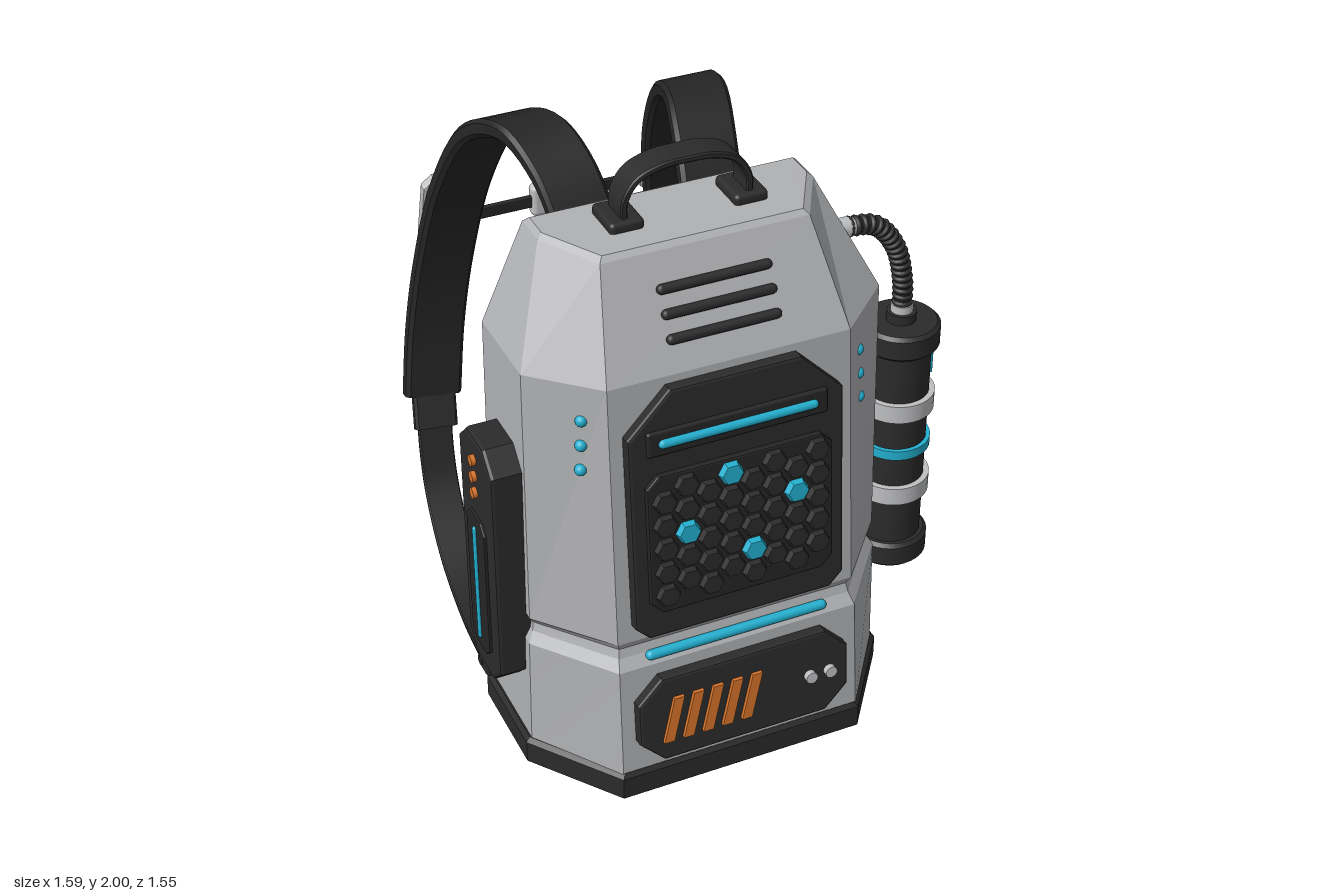
import * as THREE from 'three';
import { toCreasedNormals } from 'three/addons/utils/BufferGeometryUtils.js';
import { RoundedBoxGeometry } from 'three/addons/geometries/RoundedBoxGeometry.js';

const V = (x, y, z) => new THREE.Vector3(x, y, z);
const paint = (name, color) => Object.assign(new THREE.MeshStandardMaterial({ color }), { name });

// Closed skin over rings of points that run counter-clockwise about the travel direction
function loft(rings, crease = 0.5) {
  const n = rings[0].length, last = (rings.length - 1) * n, index = [];
  for (let i = 0; i < rings.length - 1; i++) for (let j = 0; j < n; j++) {
    const a = i * n + j, b = i * n + (j + 1) % n;
    index.push(a, b, b + n, a, b + n, a + n);
  }
  for (let j = 1; j < n - 1; j++) index.push(0, j + 1, j, last, last + j, last + j + 1);
  const g = new THREE.BufferGeometry().setFromPoints(rings.flat());
  g.setIndex(index);
  return toCreasedNormals(g, crease);
}

// Flat band with bevelled edges swept along a curve, its width lying close to x
function band(points, width, thick, steps = 48, across = V(1, 0, 0)) {
  const curve = new THREE.CatmullRomCurve3(points.map(p => V(...p)));
  const w = width / 2, t = thick / 2, c = t * 0.45;
  const section = [[w, -t + c], [w, t - c], [w - c, t], [c - w, t], [-w, t - c], [-w, c - t], [c - w, -t], [w - c, -t]];
  const rings = [];
  for (let i = 0; i <= steps; i++) {
    const p = curve.getPointAt(i / steps), T = curve.getTangentAt(i / steps);
    const W = across.clone().addScaledVector(T, -T.dot(across)).normalize();
    const N = T.clone().cross(W);
    rings.push(section.map(([a, b]) => p.clone().addScaledVector(W, a).addScaledVector(N, b)));
  }
  return loft(rings);
}

// Six-sided plan of the shell: half widths at side and front, depths at side and front
const plan = (y, s, f, zs, zf, zb = 0.12) =>
  [[s, zb], [-s, zb], [-s, zs], [-f, zf], [f, zf], [s, zs]].map(([x, z]) => V(x, y, z));

// Plate with cut corners, its back on z = 0
function plate(w, h, top, bottom, depth, bevel = 0.01) {
  const a = w / 2 - bevel, b = h / 2 - bevel;
  const s = new THREE.Shape([[-a + bottom, -b], [a - bottom, -b], [a, -b + bottom], [a, b - top],
    [a - top, b], [-a + top, b], [-a, b - top], [-a, -b + bottom]].map(p => new THREE.Vector2(...p)));
  return new THREE.ExtrudeGeometry(s, { depth: depth - bevel, bevelThickness: bevel, bevelSize: bevel, bevelSegments: 2 });
}

const box = (w, h, d, r = 0.01) => new RoundedBoxGeometry(w, h, d, 3, r);
const drum = (r, h, sides = 32) => new THREE.CylinderGeometry(r, r, h, sides);
const rod = (len, r) => new THREE.CapsuleGeometry(r, len - 2 * r, 6, 12);

export function createModel() {
  const shellGrey = paint('shell grey', 0xb0b1b4), lightGrey = paint('light grey', 0xbfc0c2);
  const dark = paint('dark plastic', 0x2b2b2c), fabric = paint('black fabric', 0x252526);
  const cyan = paint('cyan glow', 0x22b0d0), orange = paint('orange', 0xd8742a);

  const model = new THREE.Group();
  model.name = 'backpack';
  const pack = new THREE.Group();
  pack.name = 'pack';
  pack.position.x = -0.083;
  model.add(pack);

  const add = (parent, name, geometry, material, x = 0, y = 0, z = 0, rx = 0, ry = 0, rz = 0) => {
    const m = new THREE.Mesh(geometry, material);
    m.name = name;
    m.position.set(x, y, z);
    m.rotation.set(rx, ry, rz);
    parent.add(m);
    return m;
  };
  const group = (name, x, y, z, rx = 0, ry = 0) => {
    const g = new THREE.Group();
    g.name = name;
    g.position.set(x, y, z);
    g.rotation.set(rx, ry, 0);
    pack.add(g);
    return g;
  };

  // Shell and base
  add(pack, 'shell', loft([
    plan(0.09, 0.61, 0.41, 0.46, 0.735), plan(0.49, 0.603, 0.405, 0.455, 0.702),
    plan(0.525, 0.585, 0.395, 0.44, 0.675), plan(0.555, 0.58, 0.39, 0.435, 0.665),
    plan(0.585, 0.597, 0.4, 0.45, 0.68), plan(1.48, 0.587, 0.393, 0.43, 0.61),
    plan(1.795, 0.447, 0.335, 0.24, 0.438), plan(1.81, 0.43, 0.322, 0.23, 0.42, 0.135),
  ], 0.1), shellGrey);
  add(pack, 'base', loft([
    plan(0, 0.617, 0.407, 0.455, 0.735, 0.12), plan(0.012, 0.628, 0.415, 0.46, 0.746, 0.108),
    plan(0.09, 0.628, 0.415, 0.46, 0.746, 0.108), plan(0.105, 0.615, 0.405, 0.455, 0.735, 0.12),
  ], 0.1), dark);

  // Vents on the sloping front, status lights on the corner faces
  for (const y of [1.57, 1.635, 1.7])
    add(pack, 'vent', rod(0.37, 0.016), dark, 0, y, 0.615 - 0.546 * (y - 1.48), 0, 0, Math.PI / 2);
  for (const s of [-1, 1]) [1.19, 1.275, 1.36].forEach((y, i) =>
    add(pack, 'statusLight', new THREE.SphereGeometry(0.019, 16, 12), cyan, s * (0.46 - i * 0.004), y, 0.562 - i * 0.003));
  add(pack, 'lightBar', rod(0.62, 0.017), cyan, 0, 0.517, 0.687, 0, 0, Math.PI / 2);

  // Main front panel with a honeycomb
  const panel = group('frontPanel', 0, 1.028, 0.638, -0.077);
  add(panel, 'panelPlate', plate(0.704, 0.855, 0.135, 0.04, 0.045), dark);
  add(panel, 'lightRecess', box(0.59, 0.085, 0.02), fabric, 0, 0.262, 0.047);
  add(panel, 'panelLight', rod(0.52, 0.015), cyan, 0, 0.262, 0.057, 0, 0, Math.PI / 2);
  add(panel, 'honeycombTray', plate(0.61, 0.485, 0.035, 0.035, 0.022, 0.006), fabric, 0, -0.086, 0.043);
  const lit = ['1,2', '3,0', '4,3', '6,1'];
  for (let c = 0; c < 8; c++) for (let r = 0; r < 5; r++) {
    const on = lit.includes(`${c},${r}`);
    const y = (c % 2 ? 0.11 : 0.068) - r * 0.083;
    const cell = new THREE.CylinderGeometry(0.034, 0.041, 0.02, 6).rotateY(Math.PI / 6).rotateX(Math.PI / 2);
    cell.rotateZ(0);
    add(panel, on ? 'litCell' : 'cell', toCreasedNormals(cell, 0.3), on ? cyan : dark, -0.252 + c * 0.072, y, on ? 0.076 : 0.073);
  }

  // Lower front panel
  const lower = group('lowerPanel', 0, 0.296, 0.717, -0.085);
  add(lower, 'lowerPlate', plate(0.724, 0.31, 0.075, 0.075, 0.04), dark);
  const slash = new THREE.Shape([[-0.037, -0.08], [-0.003, -0.08], [0.037, 0.08], [0.003, 0.08]].map(p => new THREE.Vector2(...p)));
  for (let i = 0; i < 5; i++)
    add(lower, 'slash', new THREE.ExtrudeGeometry(slash, { depth: 0.015, bevelEnabled: false }), orange, -0.25 + i * 0.067, 0, 0.038);
  for (const x of [0.225, 0.294])
    add(lower, 'knob', drum(0.02, 0.025, 16), lightGrey, x, 0.003, 0.047, Math.PI / 2);

  // Carry handle
  for (const s of [-1, 1]) add(pack, 'handleFoot', box(0.11, 0.04, 0.15, 0.015), dark, s * 0.2, 1.822, 0.255);
  add(pack, 'handle', band([[-0.2, 1.82, 0.26], [-0.2, 1.89, 0.26], [-0.16, 1.955, 0.26], [-0.08, 1.986, 0.26], [0, 1.99, 0.26],
    [0.08, 1.986, 0.26], [0.16, 1.955, 0.26], [0.2, 1.89, 0.26], [0.2, 1.82, 0.26]], 0.1, 0.022, 40, V(0, 0, 1)), dark);

  // Back plate and pads
  add(pack, 'backPlate', box(0.65, 1.24, 0.06, 0.015), lightGrey, 0, 1.16, 0.105);
  for (const s of [-1, 1]) {
    add(pack, 'upperPad', box(0.4, 0.52, 0.09, 0.04), fabric, s * 0.256, 1.38, 0.077);
    add(pack, 'middlePad', box(0.4, 0.515, 0.09, 0.04), fabric, s * 0.256, 0.823, 0.077);
  }
  add(pack, 'lumbarPad', box(0.914, 0.335, 0.11, 0.045), fabric, 0, 0.322, 0.07);

  // Shoulder straps
  for (const s of [-1, 1]) {
    add(pack, 'shoulderStrap', band([[s * 0.205, 1.55, 0.07], [s * 0.21, 1.65, 0.035], [s * 0.235, 1.81, -0.08], [s * 0.275, 1.885, -0.23],
      [s * 0.325, 1.8, -0.44], [s * 0.37, 1.53, -0.625], [s * 0.42, 1.19, -0.715], [s * 0.46, 0.92, -0.73], [s * 0.495, 0.68, -0.7]], 0.2, 0.058), fabric);
    add(pack, 'strapSleeve', band([[s * 0.49, 0.7, -0.7], [s * 0.505, 0.57, -0.65]], 0.15, 0.04, 3), dark);
    add(pack, 'webbing', band([[s * 0.5, 0.62, -0.67], [s * 0.515, 0.53, -0.63], [s * 0.53, 0.39, -0.55], [s * 0.55, 0.235, -0.36],
      [s * 0.565, 0.155, -0.13], [s * 0.575, 0.137, 0.08]], 0.12, 0.018), fabric);
    add(pack, 'webbingAnchor', box(0.13, 0.09, 0.07), dark, s * 0.57, 0.145, 0.092);
    add(pack, 'anchorPin', drum(0.018, 0.15, 12), dark, s * 0.565, 0.137, 0.075, 0, 0, Math.PI / 2);
    const buckle = group('strapBuckle', s * 0.395, 1.395, -0.718, 0.3);
    add(buckle, 'bucklePlate', plate(0.19, 0.29, 0.03, 0.03, 0.025), lightGrey, 0, 0, 0.012, 0, Math.PI);
    add(buckle, 'buckleLight', rod(0.16, 0.014), cyan, 0, 0, -0.016);
  }
  // Chest strap
  add(pack, 'chestStrap', box(0.72, 0.045, 0.016, 0.006), fabric, 0, 1.32, -0.735);
  add(pack, 'chestBuckle', box(0.19, 0.115, 0.05, 0.018), lightGrey, 0, 1.32, -0.74);
  add(pack, 'chestLight', rod(0.11, 0.012), cyan, 0, 1.32, -0.763, 0, 0, Math.PI / 2);

  // Canister on the left side
  const can = group('canister', 0.75, 0, 0.3);
  const profile = [[0, 0.33], [0.115, 0.33], [0.127, 0.342], [0.127, 0.41], [0.115, 0.422], [0.103, 0.422], [0.103, 1.15],
    [0.115, 1.15], [0.127, 1.162], [0.127, 1.228], [0.115, 1.24], [0, 1.24]].map(p => new THREE.Vector2(...p));
  add(can, 'canisterBody', toCreasedNormals(new THREE.LatheGeometry(profile, 40), 0.5), dark);
  add(can, 'canisterNeck', drum(0.048, 0.035), dark, 0, 1.255, 0);
  add(can, 'neckCollar', drum(0.036, 0.03), lightGrey, 0, 1.285, 0);
  for (const y of [0.62, 0.947]) {
    add(can, 'clamp', drum(0.122, 0.064, 40), lightGrey, 0, y, 0);
    add(can, 'clampBracket', box(0.1, 0.06, 0.09), lightGrey, -0.125, y, 0);
  }
  add(can, 'canisterLight', drum(0.117, 0.034, 40), cyan, 0, 0.783, 0);
  add(can, 'canisterGauge', box(0.03, 0.1, 0.036, 0.005), cyan, 0.104, 1.06, 0);

  // Ribbed hose
  const hose = new THREE.CatmullRomCurve3([V(0.75, 1.28, 0.3), V(0.745, 1.39, 0.3), V(0.71, 1.52, 0.3), V(0.635, 1.61, 0.3), V(0.52, 1.63, 0.3)]);
  add(pack, 'hose', new THREE.TubeGeometry(hose, 40, 0.026, 14), dark);
  for (let i = 1; i < 20; i++) {
    const p = hose.getPointAt(i / 20);
    const rib = add(pack, 'hoseRib', new THREE.TorusGeometry(0.025, 0.009, 8, 18), dark, p.x, p.y, p.z);
    rib.lookAt(p.clone().add(hose.getTangentAt(i / 20)));
  }
  add(pack, 'hoseFitting', rod(0.1, 0.033), lightGrey, 0.525, 1.627, 0.3, 0, 0, Math.PI / 2);

  // Pod on the right side
  const pod = group('sidePod', -0.575, 0.742, 0.285, 0, -Math.PI / 2);
  add(pod, 'podCase', plate(0.27, 0.895, 0.06, 0.06, 0.117, 0.012), dark);
  add(pod, 'podInset', plate(0.15, 0.52, 0.03, 0.03, 0.012, 0.004), fabric, 0, -0.1, 0.115);
  add(pod, 'podLight', rod(0.44, 0.009), cyan, 0, -0.1, 0.127);
  for (let i = 0; i < 3; i++)
    add(pod, 'podButton', drum(0.018, 0.025, 16), orange, 0, 0.248 + i * 0.061, 0.119, Math.PI / 2);

  return model;
}
